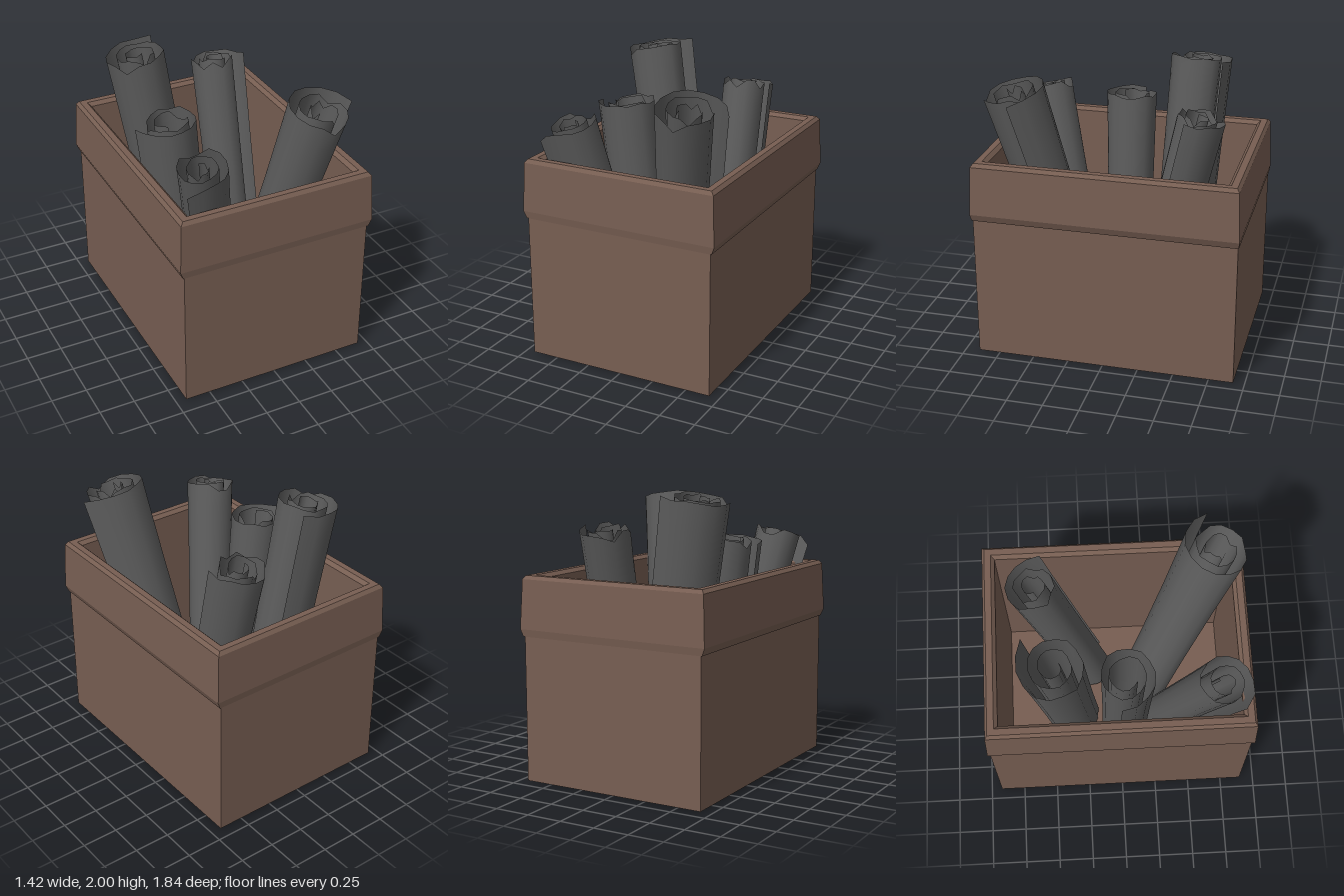
import * as THREE from 'three';

const boxBrown = new THREE.MeshStandardMaterial({ color: 0x775e52 });
boxBrown.name = 'box brown';
const paperGrey = new THREE.MeshStandardMaterial({ color: 0x5c5c5c, side: THREE.DoubleSide });
paperGrey.name = 'paper grey';

// Repeatable pseudo-random number from 0 to 1
const hash = (n) => {
  const s = Math.sin(n * 127.1 + 11.7) * 43758.5453;
  return s - Math.floor(s);
};

// Flat-shaded shell through rectangular rings [halfX, halfZ, y], closed at chosen ends
function rectShell(rings, capStart, capEnd) {
  const pos = [];
  const corner = ([x, z, y], k) => [[x, y, z], [x, y, -z], [-x, y, -z], [-x, y, z]][k % 4];
  const quad = (a, b, c, d) => pos.push(...a, ...b, ...c, ...a, ...c, ...d);
  for (let i = 0; i < rings.length - 1; i++) {
    for (let k = 0; k < 4; k++) {
      quad(corner(rings[i], k), corner(rings[i], k + 1), corner(rings[i + 1], k + 1), corner(rings[i + 1], k));
    }
  }
  const first = rings[0], last = rings[rings.length - 1];
  if (capStart) quad(corner(first, 3), corner(first, 2), corner(first, 1), corner(first, 0));
  if (capEnd) quad(corner(last, 0), corner(last, 1), corner(last, 2), corner(last, 3));
  const geo = new THREE.BufferGeometry();
  geo.setAttribute('position', new THREE.Float32BufferAttribute(pos, 3));
  geo.computeVertexNormals();
  return geo;
}

// Sheet rolled into a spiral, with torn ends and a loose outer edge
function scrollGeometry({ length, rIn, rFoot, rTop, turns, end, seed }) {
  const perTurn = 14, cols = Math.round(turns * perTurn);
  const rows = [0, 0.3, 0.65, 0.9, 1];
  const pos = [], index = [];
  for (let i = 0; i <= cols; i++) {
    const t = i / cols;
    const angle = end - (1 - t) * turns * Math.PI * 2;
    const loose = Math.max(0, i - cols + 2) * 0.013;
    const tear = hash(seed + i) > 0.86 ? 0.06 : hash(seed + i * 3) * 0.02;
    rows.forEach((v, j) => {
      const rOut = rFoot + (rTop - rFoot) * v * v;
      const r = rIn + (rOut - rIn) * t + loose + (hash(seed + i * 5) - 0.5) * 0.012;
      const y = v * length - (j === rows.length - 1 ? tear : 0);
      pos.push(r * Math.cos(angle), y, r * Math.sin(angle));
    });
  }
  const n = rows.length;
  for (let i = 0; i < cols; i++) {
    for (let j = 0; j < n - 1; j++) {
      const a = i * n + j, b = a + n;
      index.push(a, a + 1, b, b, a + 1, b + 1);
    }
  }
  const geo = new THREE.BufferGeometry();
  geo.setAttribute('position', new THREE.Float32BufferAttribute(pos, 3));
  geo.setIndex(index);
  geo.computeVertexNormals();
  return geo;
}

export function createModel() {
  const model = new THREE.Group();
  model.name = 'boxOfScrolls';

  const add = (geo, mat, name, parent = model) => {
    const mesh = new THREE.Mesh(geo, mat);
    mesh.name = name;
    parent.add(mesh);
    return mesh;
  };

  // Open box: outer walls, bevelled rim, inner walls and floor
  const box = new THREE.Group();
  box.name = 'box';
  box.position.z = -0.013;
  model.add(box);
  add(rectShell([[0.68, 0.91, 0.01], [0.68, 0.91, 1.03]], true, false), boxBrown, 'outerWalls', box);
  add(rectShell([
    [0.675, 0.905, 1.02], [0.69, 0.915, 1.02], [0.71, 0.922, 1.07], [0.695, 0.908, 1.41],
    [0.675, 0.89, 1.435], [0.63, 0.845, 1.435], [0.605, 0.82, 1.41],
  ], false, false), boxBrown, 'rim', box);
  add(rectShell([[0.605, 0.82, 1.41], [0.595, 0.81, 0.04]], false, true), boxBrown, 'innerWallsAndFloor', box);

  // Leaning scrolls: centre of the foot and of the top
  const scrolls = [
    { name: 'frontLeftScroll', foot: [0.14, 0.065, 0.23], top: [0.41, 1.88, 0.69], rIn: 0.06, rFoot: 0.21, rTop: 0.25, turns: 2.6, end: -0.2, seed: 3 },
    { name: 'frontRightScroll', foot: [-0.17, 0.06, 0.31], top: [-0.46, 1.67, 0.68], rIn: 0.04, rFoot: 0.18, rTop: 0.2, turns: 2.6, end: 2.4, seed: 21 },
    { name: 'middleRightScroll', foot: [-0.22, 0.05, 0.02], top: [-0.38, 1.67, 0.03], rIn: 0.09, rFoot: 0.19, rTop: 0.21, turns: 2.2, end: 3.3, seed: 40 },
    { name: 'backRightScroll', foot: [-0.1, 0.06, -0.34], top: [-0.4, 1.97, -0.44], rIn: 0.05, rFoot: 0.22, rTop: 0.24, turns: 2.7, end: -0.8, seed: 64 },
    { name: 'backLeftScroll', foot: [0.26, 0.06, -0.18], top: [0.25, 1.75, -0.57], rIn: 0.045, rFoot: 0.18, rTop: 0.195, turns: 2.6, end: 0.3, seed: 87 },
  ];
  const up = new THREE.Vector3(0, 1, 0);
  for (const s of scrolls) {
    const foot = new THREE.Vector3(...s.foot);
    const axis = new THREE.Vector3(...s.top).sub(foot);
    const mesh = add(scrollGeometry({ ...s, length: axis.length() }), paperGrey, s.name);
    mesh.position.copy(foot);
    mesh.quaternion.setFromUnitVectors(up, axis.normalize());
  }
  return model;
}
